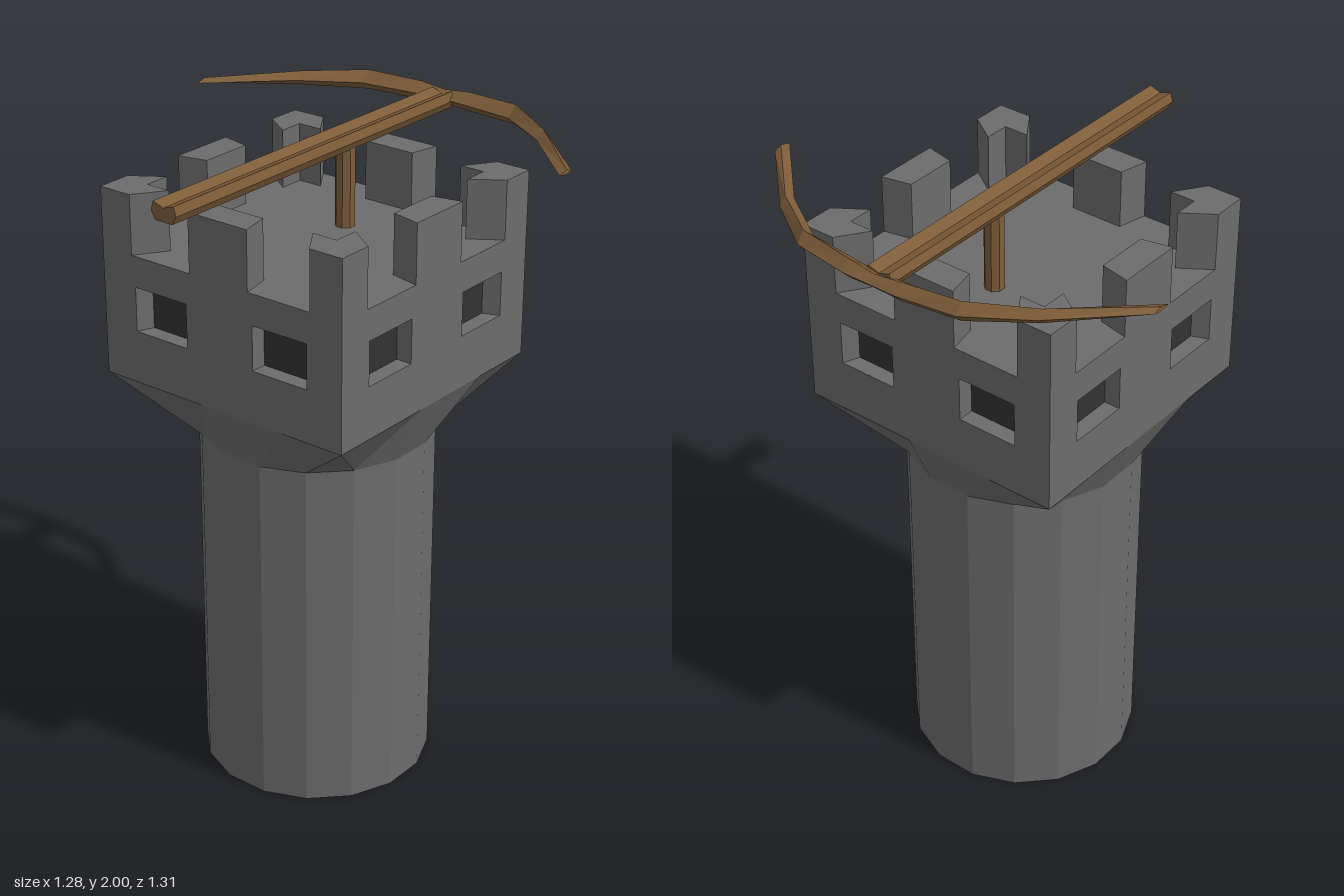
import * as THREE from 'three';

const HALF = 0.43;      // half width of the square head
const SHAFT_R = 0.353;
const SHAFT_TOP = 1.125;
const HEAD_BASE = 1.31;
const FLOOR = 1.70;
const WALL = 0.05;      // depth of the window recesses

const stone = new THREE.MeshStandardMaterial({ name: 'stone', color: 0x6c6c6c, flatShading: true });
const shadowStone = new THREE.MeshStandardMaterial({ name: 'darkWindow', color: 0x333333, flatShading: true });
const wood = new THREE.MeshStandardMaterial({ name: 'wood', color: 0x7e5d3a, flatShading: true });

function part(parent, name, geometry, material) {
  const mesh = new THREE.Mesh(geometry, material);
  mesh.name = name;
  parent.add(mesh);
  return mesh;
}

function polygon(points, Type = THREE.Shape) {
  return new Type(points.map(([x, y]) => new THREE.Vector2(x, y)));
}

function fromTriangles(points) {
  const geometry = new THREE.BufferGeometry();
  geometry.setAttribute('position', new THREE.Float32BufferAttribute(points.flat(), 3));
  geometry.computeVertexNormals();
  return geometry;
}

// Quarter of the flare joining the round shaft to the square head
function flareQuarter() {
  const low = [-1, 1, 3, 5, 7].map((k) => {
    const a = (k * Math.PI) / 16;
    return [Math.sin(a) * SHAFT_R, SHAFT_TOP, Math.cos(a) * SHAFT_R];
  });
  const high = [[-0.07, HALF], [0.07, HALF], [0.22, HALF], [HALF, 0.22], [HALF, 0.07]]
    .map(([x, z]) => [x, HEAD_BASE, z]);
  const corner = [HALF, HEAD_BASE, HALF];
  const tris = [];
  for (let i = 0; i < 4; i++) {
    const a = low[i], b = low[i + 1], p = high[i], q = high[i + 1];
    if (i === 2) tris.push(a, corner, p, a, b, corner, b, q, corner);
    else tris.push(a, b, q, a, q, p);
  }
  return fromTriangles(tris);
}

// Wall with two window openings, mitred at the ends, outer jambs splayed
function wallPanel() {
  const rect = (x0, x1, y0, y1) => [[x0, y0], [x1, y0], [x1, y1], [x0, y1]];
  const shape = polygon(rect(-HALF, HALF, HEAD_BASE, FLOOR));
  for (const [x0, x1] of [[-0.31, -0.12], [0.12, 0.31]]) {
    shape.holes.push(polygon(rect(x0, x1, 1.47, 1.605), THREE.Path));
  }
  const geometry = new THREE.ExtrudeGeometry(shape, { depth: WALL, bevelEnabled: false });
  const pos = geometry.attributes.position;
  for (let i = 0; i < pos.count; i++) {
    const x = pos.getX(i);
    if (pos.getZ(i) < WALL / 2) {
      if (Math.abs(x) > 0.4) pos.setX(i, Math.sign(x) * (HALF - WALL));
      else if (Math.abs(x) > 0.3) pos.setX(i, Math.sign(x) * 0.29);
    }
  }
  geometry.translate(0, 0, HALF - WALL);
  geometry.computeVertexNormals();
  return geometry;
}

// Battlement block from its plan outline in x and z
function merlon(plan) {
  const shape = polygon(plan.map(([x, z]) => [x, -z]));
  return new THREE.ExtrudeGeometry(shape, { depth: 0.18, bevelEnabled: false })
    .rotateX(-Math.PI / 2).translate(0, FLOOR, 0);
}

// Bow limbs: diamond sections swept along z
function bowGeometry() {
  // z, inner x, outer x, top y, bottom y
  const half = [
    [0, 0.578, 0.64, 1.985, 1.942],
    [0.09, 0.573, 0.64, 1.995, 1.937],
    [0.27, 0.553, 0.614, 2.0, 1.94],
    [0.44, 0.445, 0.502, 1.99, 1.947],
    [0.655, 0.235, 0.295, 1.977, 1.962],
  ];
  const stations = [
    ...half.slice(1).reverse().map(([z, ...rest]) => [-z, ...rest]),
    ...half,
  ];
  const rings = stations.map(([z, inner, outer, top, bottom]) => {
    const mid = (inner + outer) / 2 + 0.005;
    return [[inner, 1.967, z], [mid, top, z], [outer, 1.967, z], [mid, bottom, z]];
  });
  const tris = [];
  for (let i = 0; i < rings.length - 1; i++) {
    for (let k = 0; k < 4; k++) {
      const n = (k + 1) % 4;
      const a = rings[i][k], b = rings[i][n], c = rings[i + 1][n], d = rings[i + 1][k];
      tris.push(a, d, c, a, c, b);
    }
  }
  const s = rings[0], e = rings[rings.length - 1];
  tris.push(s[0], s[1], s[2], s[0], s[2], s[3]);
  tris.push(e[0], e[3], e[2], e[0], e[2], e[1]);
  return fromTriangles(tris);
}

export function createModel() {
  const model = new THREE.Group();
  model.name = 'ballistaTower';

  // Round shaft
  const shaft = new THREE.CylinderGeometry(SHAFT_R, SHAFT_R, SHAFT_TOP, 16, 1, false, Math.PI / 16);
  part(model, 'shaft', shaft.translate(0, SHAFT_TOP / 2, 0), stone);

  // Core closes the floor and shows dark behind the windows
  const inner = 2 * (HALF - WALL);
  const core = new THREE.BoxGeometry(inner, FLOOR - HEAD_BASE, inner);
  core.translate(0, (FLOOR + HEAD_BASE) / 2, 0);
  part(model, 'headCore', core, [shadowStone, shadowStone, stone, stone, shadowStone, shadowStone]);

  // Four matching sides of the head
  const flare = flareQuarter();
  const wall = wallPanel();
  const middle = merlon([[-0.105, HALF], [0.105, HALF], [0.085, 0.337], [-0.085, 0.337]]);
  const corner = merlon([[HALF, HALF], [HALF, 0.32], [0.337, 0.257], [0.337, 0.337], [0.257, 0.337], [0.32, HALF]]);
  for (let i = 0; i < 4; i++) {
    const side = new THREE.Group();
    side.name = 'headSide' + (i + 1);
    side.rotation.y = (i * Math.PI) / 2;
    part(side, 'flare', flare, stone);
    part(side, 'windowWall', wall, stone);
    part(side, 'middleMerlon', middle, stone);
    part(side, 'cornerMerlon', corner, stone);
    model.add(side);
  }

  // Crossbow on a post
  const crossbow = new THREE.Group();
  crossbow.name = 'crossbow';
  model.add(crossbow);
  const post = new THREE.CylinderGeometry(0.03, 0.03, 0.26, 8, 1, false, Math.PI / 8);
  part(crossbow, 'post', post.translate(0.13, FLOOR + 0.13, 0), wood);

  // Stock with a bolt groove along the top
  const section = polygon([
    [-0.03, 1.938], [0.03, 1.938], [0.044, 1.963], [0.036, 1.99],
    [0, 1.978], [-0.036, 1.99], [-0.044, 1.963],
  ]);
  const stock = new THREE.ExtrudeGeometry(section, { depth: 1.235, bevelEnabled: false });
  part(crossbow, 'stock', stock.rotateY(-Math.PI / 2).translate(0.597, 0, 0), wood);
  part(crossbow, 'bow', bowGeometry(), wood);

  return model;
}
